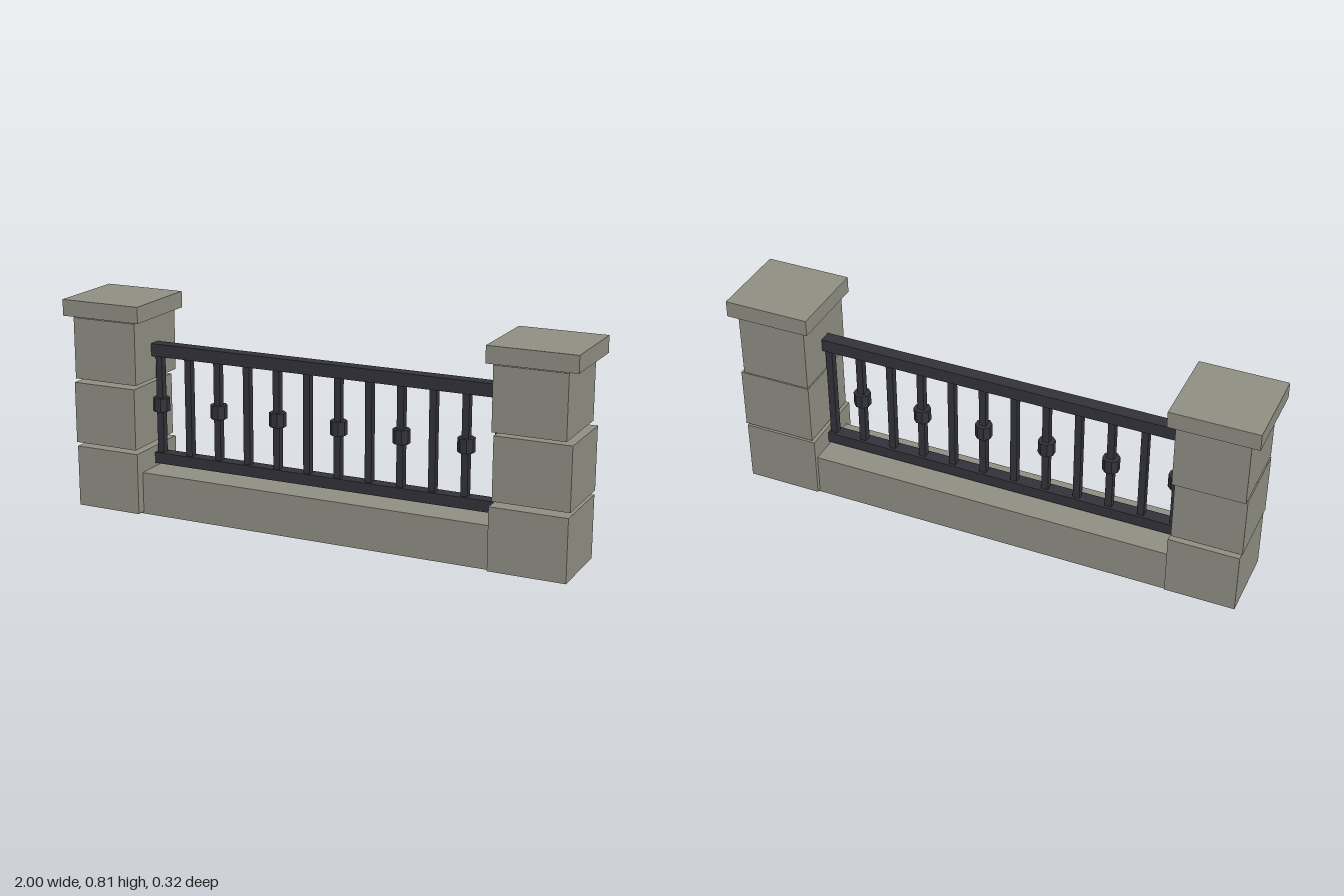
import * as THREE from 'three';

export function createModel() {
  const model = new THREE.Group();
  model.name = 'balustrade';

  const stone = new THREE.MeshStandardMaterial({ color: 0x8f8e83 });
  stone.name = 'grey stone';
  const iron = new THREE.MeshStandardMaterial({ color: 0x33323a });
  iron.name = 'dark iron';

  // Box given by its limits on each axis
  function box(name, material, [x0, x1], [y0, y1], [z0, z1], parent = model) {
    const mesh = new THREE.Mesh(new THREE.BoxGeometry(x1 - x0, y1 - y0, z1 - z0), material);
    mesh.position.set((x0 + x1) / 2, (y0 + y1) / 2, (z0 + z1) / 2);
    mesh.name = name;
    parent.add(mesh);
    return mesh;
  }

  // Pillars: three slightly shifted blocks with gaps, and a cap
  const levels = [[0.008, 0.242], [0.256, 0.49], [0.503, 0.737]];
  const pillars = {
    rightPillar: {
      cap: [-1, -0.677],
      x: [[-0.962, -0.70], [-0.968, -0.708], [-0.968, -0.705]],
      z: [[-0.13, 0.153], [-0.123, 0.149], [-0.15, 0.14]],
    },
    leftPillar: {
      cap: [0.675, 1],
      x: [[0.695, 0.98], [0.70, 0.98], [0.695, 0.96]],
      z: [[-0.133, 0.15], [-0.139, 0.133], [-0.15, 0.14]],
    },
  };
  for (const [name, p] of Object.entries(pillars)) {
    const pillar = new THREE.Group();
    pillar.name = name;
    levels.forEach((y, i) => box('pillarBlock' + (i + 1), stone, p.x[i], y, p.z[i], pillar));
    box('pillarCap', stone, p.cap, [0.745, 0.807], [-0.161, 0.161], pillar);
    model.add(pillar);
  }

  // Low wall between the pillars
  box('baseWall', stone, [-0.84, 0.84], [0, 0.162], [-0.117, 0.117]);

  // Railing
  const railing = new THREE.Group();
  railing.name = 'railing';
  model.add(railing);
  box('topRail', iron, [-0.715, 0.71], [0.592, 0.64], [-0.025, 0.025], railing);
  box('bottomRail', iron, [-0.715, 0.71], [0.175, 0.217], [-0.025, 0.025], railing);

  // Balusters, every second one with an eight-sided collar
  const collar = new THREE.CylinderGeometry(0.032, 0.032, 0.052, 8).rotateY(Math.PI / 8).toNonIndexed();
  collar.computeVertexNormals();
  for (let i = 0; i < 12; i++) {
    const x = -0.68 + i * 0.1232;
    box('baluster', iron, [x - 0.013, x + 0.013], [0.21, 0.6], [-0.014, 0.014], railing);
    if (i % 2 === 0) {
      const mesh = new THREE.Mesh(collar, iron);
      mesh.name = 'balusterCollar';
      mesh.position.set(x, 0.404, 0);
      railing.add(mesh);
    }
  }
  return model;
}
